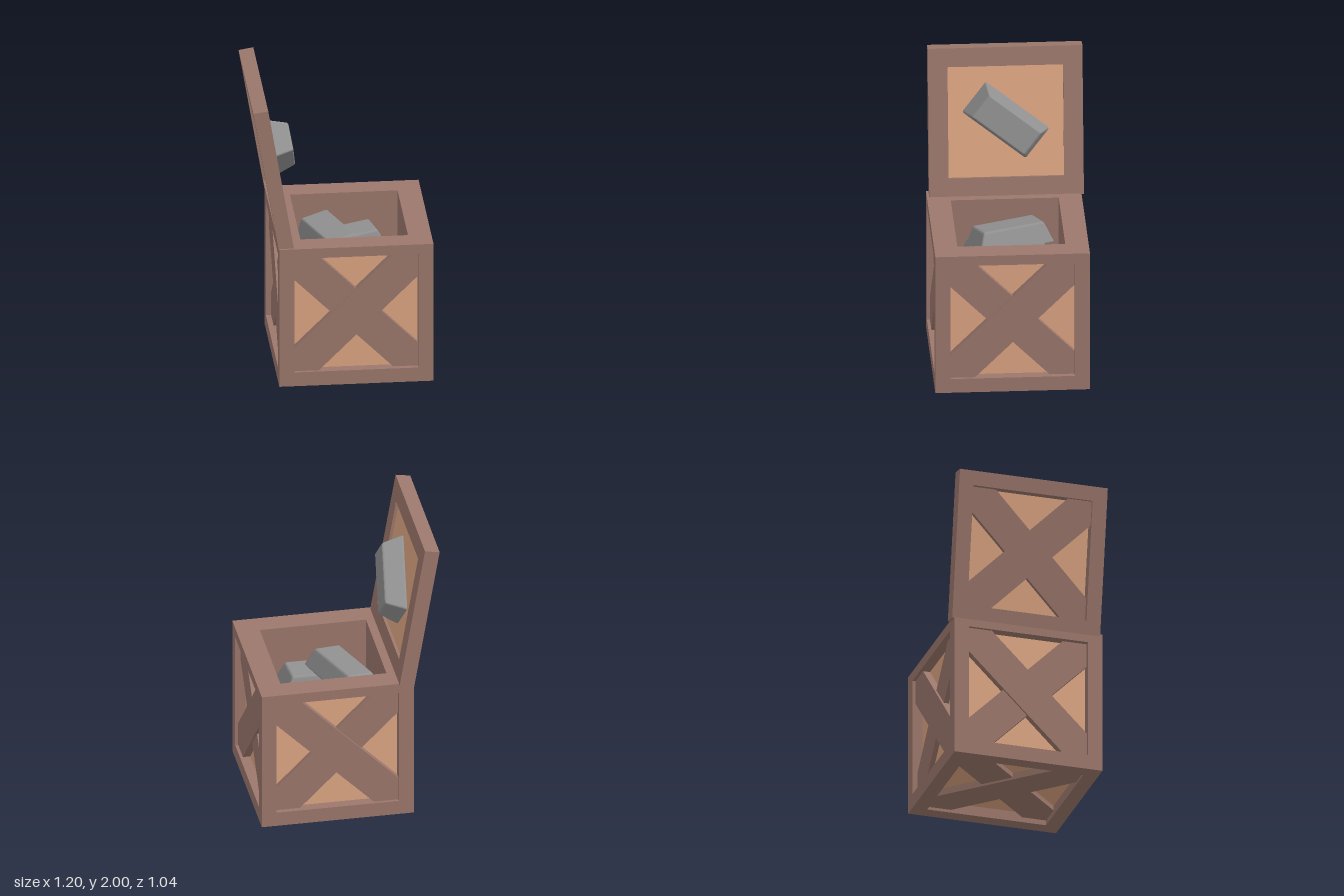
import * as THREE from 'three';
import { RoundedBoxGeometry } from 'three/addons/geometries/RoundedBoxGeometry.js';

const wood = new THREE.MeshStandardMaterial({ color: 0x9c786c });
const plank = new THREE.MeshStandardMaterial({ color: 0xdea684 });
const metal = new THREE.MeshStandardMaterial({ color: 0x909090 });

const W = 1.025, H = 0.995;      // crate width and height
const BAR = 0.1, RECESS = 0.07;  // frame bar width, depth of the panels
const OPEN = W - 2 * BAR;        // panel opening
const HALF = W / 2;

function add(parent, name, geometry, material, x = 0, y = 0, z = 0) {
  const mesh = new THREE.Mesh(geometry, material);
  mesh.name = name;
  mesh.position.set(x, y, z);
  parent.add(mesh);
  return mesh;
}

const box = (w, h, d) => new THREE.BoxGeometry(w, h, d);
const extrude = (shape, depth) => new THREE.ExtrudeGeometry(shape, { depth, bevelEnabled: false });

function square(Type, size) {
  const s = size / 2;
  return new Type([[-s, -s], [s, -s], [s, s], [-s, s]].map(([x, y]) => new THREE.Vector2(x, y)));
}

// Square frame, extruded along z
function ring(outer, inner, depth) {
  const shape = square(THREE.Shape, outer);
  shape.holes.push(square(THREE.Path, inner));
  return extrude(shape, depth);
}

// Diagonal brace clipped to the opening; sign 1 rises to the right, -1 to the left
function brace(sign, depth) {
  const a = OPEN / 2, c = 0.165;
  const points = [[-a, -a], [c - a, -a], [a, a - c], [a, a], [a - c, a], [-a, c - a]];
  return extrude(new THREE.Shape(points.map(([x, y]) => new THREE.Vector2(sign * x, y))), depth);
}

// Recessed panel with crossed braces; faces +z, the frame's surface is at z = 0
function crossPanel(overSign) {
  const group = new THREE.Group();
  group.name = 'crossPanel';
  add(group, 'panel', new THREE.PlaneGeometry(OPEN, OPEN), plank, 0, 0, -RECESS + 0.001);
  add(group, 'upperBrace', brace(overSign, 0.05), wood, 0, 0, -RECESS);
  add(group, 'lowerBrace', brace(-overSign, 0.035), wood, 0, 0, -RECESS);
  return group;
}

// Bevelled bar that narrows towards the top, base at y = 0
function ingotGeometry() {
  const h = 0.145;
  const geometry = new RoundedBoxGeometry(0.54, h, 0.265, 2, 0.014);
  const p = geometry.attributes.position;
  for (let i = 0; i < p.count; i++) {
    const t = p.getY(i) / h + 0.5;
    p.setXYZ(i, p.getX(i) * (1 - 0.2 * t), t * h, p.getZ(i) * (1 - 0.28 * t));
  }
  geometry.computeVertexNormals();
  return geometry;
}

function makeCrate() {
  const crate = new THREE.Group();
  crate.name = 'crate';

  // Solid base and hollow upper walls
  const core = W - 2 * RECESS, floor = 0.62;
  add(crate, 'crateFloor', box(core, floor - RECESS, core), wood, 0, (floor + RECESS) / 2, 0);
  add(crate, 'innerWalls', ring(core, 0.715, H - floor), wood, 0, floor, 0).rotation.x = -Math.PI / 2;

  // Corner posts
  for (const sx of [-1, 1]) for (const sz of [-1, 1]) {
    add(crate, 'cornerPost', box(BAR, H, BAR), wood, sx * (HALF - BAR / 2), H / 2, sz * (HALF - BAR / 2));
  }

  // Four sides: rails and crossed panels
  for (let i = 0; i < 4; i++) {
    const side = new THREE.Group();
    side.name = 'side';
    side.rotation.y = i * Math.PI / 2;
    const topRail = H - BAR - OPEN;
    add(side, 'topRail', box(OPEN, topRail, BAR), wood, 0, H - topRail / 2, HALF - BAR / 2);
    add(side, 'bottomRail', box(OPEN, BAR, BAR), wood, 0, BAR / 2, HALF - BAR / 2);
    const panel = crossPanel(i < 2 ? 1 : -1);
    panel.position.set(0, BAR + OPEN / 2, HALF);
    side.add(panel);
    crate.add(side);
  }

  // Underside
  const bottom = crossPanel(-1);
  bottom.rotation.x = Math.PI / 2;
  crate.add(bottom);
  bottom.children.forEach((m) => { m.name = 'bottom ' + m.name; });
  return crate;
}

function makeLid(ingot) {
  const lid = new THREE.Group();
  lid.name = 'lid';
  // Board built with +z as the outer side
  const board = new THREE.Group();
  board.name = 'lidBoard';
  board.rotation.y = -Math.PI / 2;
  board.position.y = HALF;
  add(board, 'lidInnerFrame', ring(W, 0.766, 0.03), wood);
  add(board, 'lidOuterFrame', ring(W, OPEN, 0.07), wood, 0, 0, 0.03);
  add(board, 'lidInnerPanel', box(0.766, 0.766, 0.009), plank, 0, 0, 0.0245);
  const panel = crossPanel(1);
  panel.position.z = 0.1;
  board.add(panel);

  // Bar fixed to the inside
  const bar = add(board, 'lidIngot', ingot, metal, 0, 0.008, 0.022);
  bar.rotation.set(-Math.PI / 2, 0, 0.666, 'ZYX');
  lid.add(board);
  return lid;
}

export function createModel() {
  const model = new THREE.Group();
  model.name = 'openCrate';
  const ingot = ingotGeometry();

  const crate = makeCrate();
  crate.position.set(0.083, 0, 0.008);
  model.add(crate);

  // Open lid leaning back over the right edge
  const lid = makeLid(ingot);
  lid.position.set(-0.33, 0.99, -0.008);
  lid.rotation.z = 0.168;
  model.add(lid);

  // Bars piled in the crate: position, then roll, yaw, pitch
  const pile = [
    [-0.035, 0.775, -0.01, 0.15, -1.214, 0],
    [0.065, 0.665, -0.15, 0, 0.238, 0.08],
    [0.085, 0.655, 0.157, -0.05, 0.095, 0.06],
  ];
  for (const [x, y, z, roll, yaw, pitch] of pile) {
    add(model, 'ingot', ingot, metal, x, y, z).rotation.set(roll, yaw, pitch, 'YZX');
  }
  return model;
}
